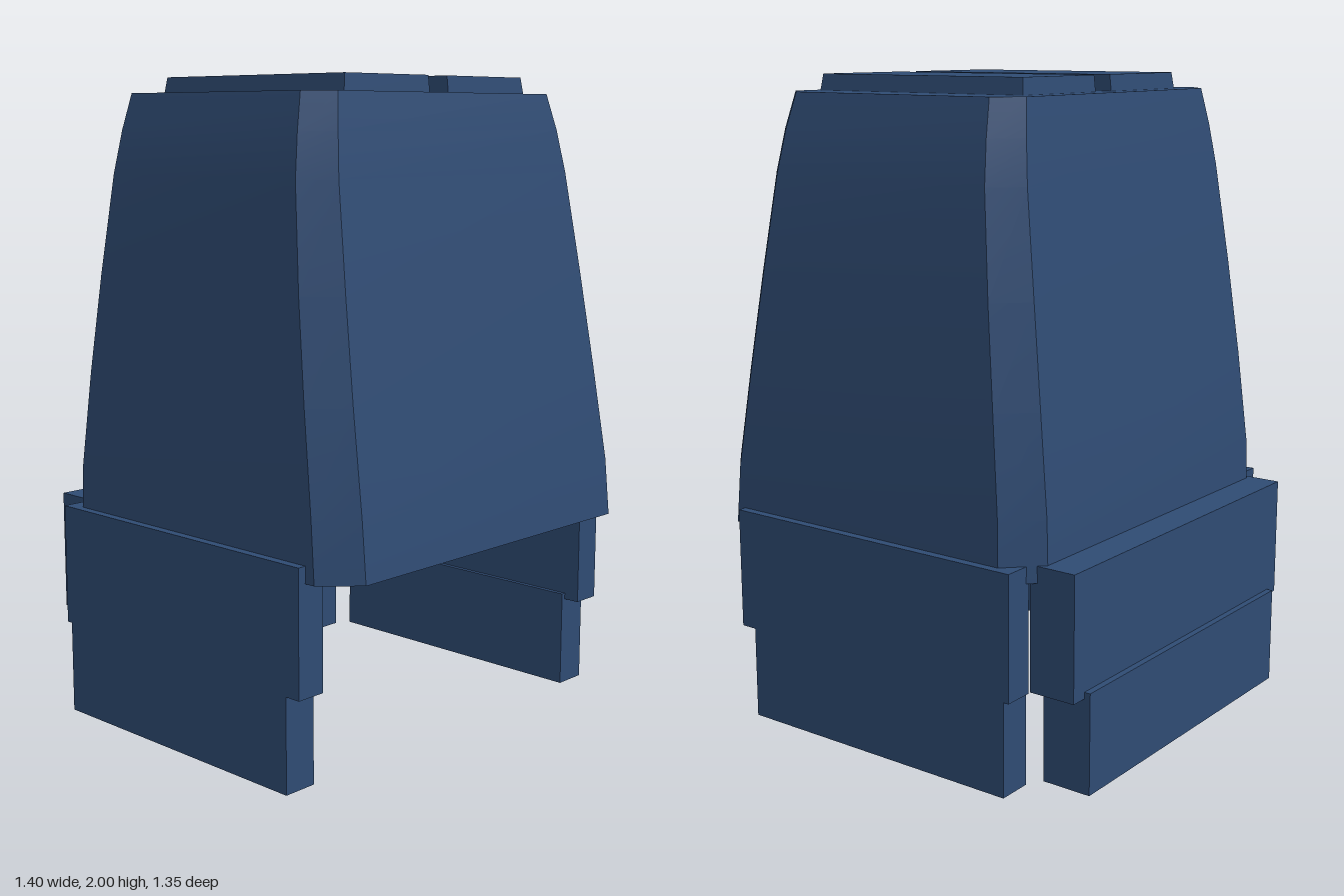
import * as THREE from 'three';
import { toCreasedNormals } from 'three/addons/utils/BufferGeometryUtils.js';

const navy = new THREE.MeshStandardMaterial({ color: 0x2f4b73 });
navy.name = 'navy blue';

// Closed solid through rings of [x, y, z], each counterclockwise seen from above
function loft(rings) {
  const n = rings[0].length;
  const last = (rings.length - 1) * n;
  const index = [];
  for (let r = 0; r < rings.length - 1; r++) {
    for (let i = 0; i < n; i++) {
      const j = (i + 1) % n;
      const a = r * n + i, b = r * n + j, c = b + n, d = a + n;
      index.push(a, b, c, a, c, d);
    }
  }
  for (let i = 1; i < n - 1; i++) {
    index.push(0, i + 1, i, last, last + i, last + i + 1);
  }
  const geometry = new THREE.BufferGeometry();
  geometry.setAttribute('position', new THREE.Float32BufferAttribute(rings.flat(2), 3));
  geometry.setIndex(index);
  return toCreasedNormals(geometry, 0.4);
}

// Rectangle with cut corners
function octagon(y, x, front, back, cut) {
  return [
    [x, y, front - cut], [x, y, back + cut], [x - cut, y, back], [cut - x, y, back],
    [-x, y, back + cut], [-x, y, front - cut], [cut - x, y, front], [x - cut, y, front],
  ];
}

function rectangle(y, x0, x1, front, back) {
  return [[x1, y, front], [x1, y, back], [x0, y, back], [x0, y, front]];
}

export function createModel() {
  const group = new THREE.Group();
  const add = (name, geometry) => {
    const mesh = new THREE.Mesh(geometry, navy);
    mesh.name = name;
    group.add(mesh);
  };
  const addBox = (name, x0, x1, y0, y1, z0, z1) => add(name,
    new THREE.BoxGeometry(x1 - x0, y1 - y0, z1 - z0)
      .translate((x0 + x1) / 2, (y0 + y1) / 2, (z0 + z1) / 2));

  // Tapered shell: height, half width, front, back, corner cut
  const sections = [
    [0.62, 0.674, 0.674, -0.551, 0.1],
    [0.8, 0.67, 0.657, -0.545, 0.098],
    [1.1, 0.652, 0.61, -0.512, 0.094],
    [1.4, 0.629, 0.563, -0.475, 0.09],
    [1.71, 0.598, 0.514, -0.434, 0.083],
    [1.84, 0.573, 0.492, -0.416, 0.078],
    [1.95, 0.543, 0.468, -0.398, 0.072],
  ];
  add('shell', loft(sections.map((s) => octagon(...s))));

  // Paired parts on each side
  for (const [side, s] of [['left', 1], ['right', -1]]) {
    const span = (a, b) => (s > 0 ? [a, b] : [-b, -a]);

    // Raised pad, bevelled on its outer, front and back edges
    add(side + 'TopPad', loft([
      rectangle(1.94, ...span(0.042, 0.406), 0.429, -0.339),
      rectangle(2.0, ...span(0.042, 0.396), 0.422, -0.332),
    ]));

    addBox(side + 'UpperPanel', ...span(0.605, 0.7), 0.29, 0.67, -0.507, 0.54);
    addBox(side + 'LowerPanel', ...span(0.59, 0.699), 0, 0.31, -0.488, 0.488);
  }

  // Back panels
  addBox('backUpperPanel', -0.595, 0.595, 0.29, 0.67, -0.655, -0.56 + 0.055);
  addBox('backLowerPanel', -0.542, 0.542, 0, 0.31, -0.675, -0.515);

  return group;
}
